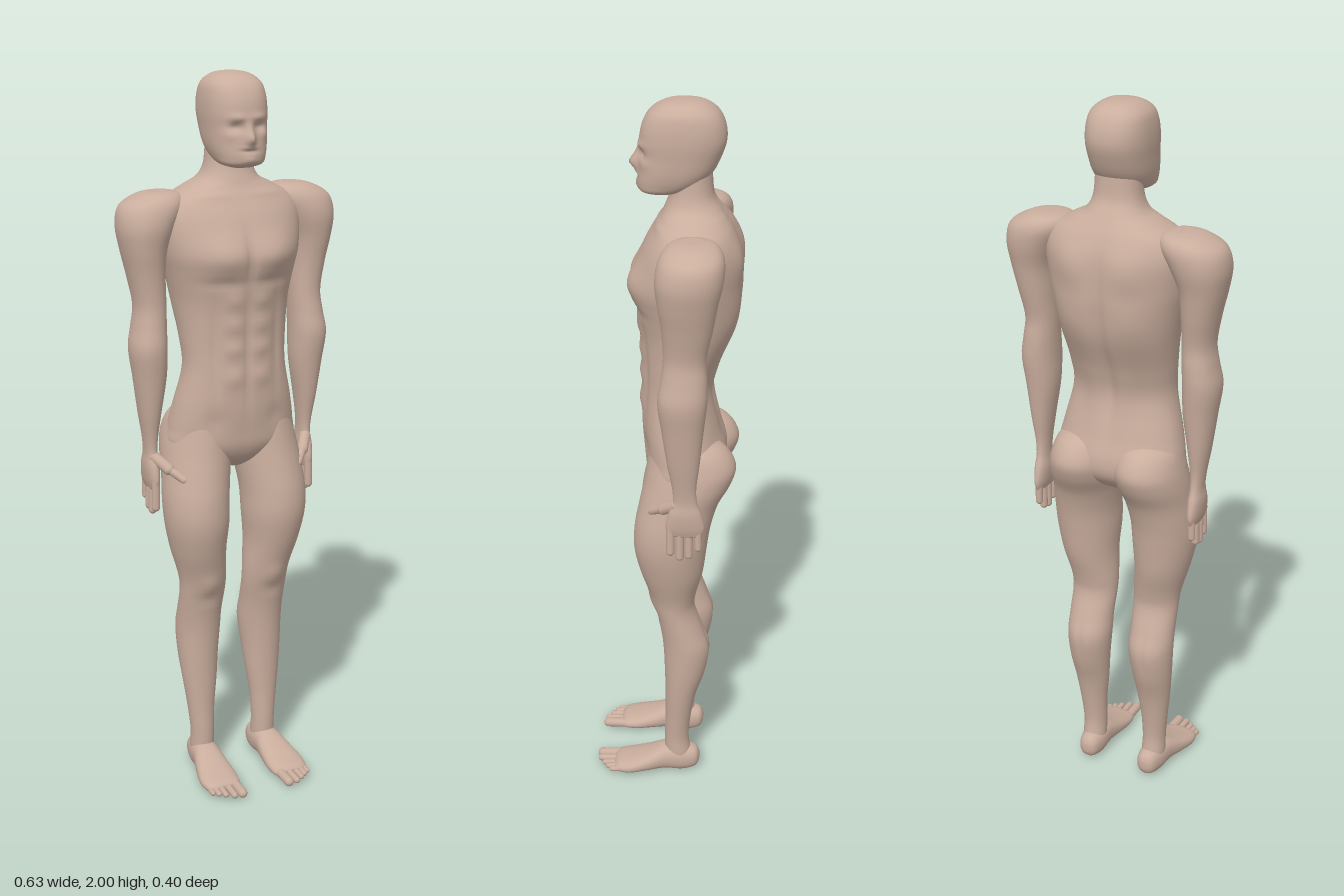
import * as THREE from 'three';

const skin = new THREE.MeshStandardMaterial({ color: 0xc9ad9d });
skin.name = 'skin';

const cubic = (a, b, c, d, t) =>
  b + 0.5 * t * (c - a + t * (2 * a - 5 * b + 4 * c - d + t * (3 * (b - c) + d - a)));

// Smooth loft through sections [y, centreX, halfWidth, frontZ, backZ], listed from high y to low y.
// Bumps are [x, y, radiusX, radiusY, amount, face], mirrored in x; face is 1 for front, -1 for back.
function loft(sections, { n = 2, around = 40, steps = 5, bumps = [], side = 1 } = {}) {
  const pos = [], index = [];
  const last = sections.length - 1;
  const at = (i) => sections[Math.min(Math.max(i, 0), last)];
  const rings = last * steps;
  for (let r = 0; r <= rings; r++) {
    const k = Math.min(Math.floor(r / steps), last - 1), t = r / steps - k;
    const [y, cx, hw, zf, zb] = at(k).map((_, c) =>
      cubic(at(k - 1)[c], at(k)[c], at(k + 1)[c], at(k + 2)[c], t));
    for (let j = 0; j < around; j++) {
      const a = (j / around) * Math.PI * 2, c = Math.cos(a), s = Math.sin(a);
      const x = side * cx + hw * Math.sign(c) * Math.abs(c) ** (2 / n);
      let z = (zf + zb) / 2 + ((zf - zb) / 2) * Math.sign(s) * Math.abs(s) ** (2 / n);
      for (const [bx, by, rx, ry, amount, face] of bumps) {
        if (s * face <= 0) continue;
        const u = (Math.abs(x) - bx) / rx, v = (y - by) / ry;
        z += s * amount * Math.exp(-u * u - v * v);
      }
      pos.push(x, y, z);
    }
  }
  for (let r = 0; r < rings; r++) {
    for (let j = 0; j < around; j++) {
      const a = r * around + j, b = r * around + ((j + 1) % around);
      index.push(a, b, a + around, b, b + around, a + around);
    }
  }
  // Close both ends with a centre point
  const top = pos.length / 3, bottom = top + 1, base = rings * around;
  for (const [y, cx, , zf, zb] of [at(0), at(last)]) pos.push(side * cx, y, (zf + zb) / 2);
  for (let j = 0; j < around; j++) {
    const k = (j + 1) % around;
    index.push(top, k, j, bottom, base + j, base + k);
  }
  const g = new THREE.BufferGeometry();
  g.setAttribute('position', new THREE.Float32BufferAttribute(pos, 3));
  g.setIndex(index);
  g.computeVertexNormals();
  return g;
}

function part(name, geometry, parent) {
  const m = new THREE.Mesh(geometry, skin);
  m.name = name;
  parent.add(m);
  return m;
}

// Rounded finger or toe between two points
function digit(name, a, b, radius, parent) {
  const from = new THREE.Vector3(...a), to = new THREE.Vector3(...b);
  const dir = to.clone().sub(from);
  const m = part(name, new THREE.CapsuleGeometry(radius, dir.length() - radius, 6, 14), parent);
  m.position.copy(from).add(to).addScaledVector(dir.clone().normalize(), -radius).multiplyScalar(0.5);
  m.quaternion.setFromUnitVectors(new THREE.Vector3(0, 1, 0), dir.normalize());
}

const HEAD = [
  [2.0, 0, 0.016, -0.025, -0.06], [1.993, 0, 0.048, 0.012, -0.095], [1.972, 0, 0.073, 0.047, -0.126],
  [1.94, 0, 0.082, 0.066, -0.143], [1.9, 0, 0.084, 0.074, -0.147], [1.86, 0, 0.081, 0.074, -0.135],
  [1.82, 0, 0.077, 0.078, -0.115], [1.79, 0, 0.069, 0.08, -0.085], [1.77, 0, 0.057, 0.074, -0.04],
  [1.76, 0, 0.03, 0.05, -0.01],
];
const FACE = [
  [0, 1.836, 0.013, 0.018, 0.022, 1], [0, 1.86, 0.01, 0.02, 0.01, 1],     // nose
  [0.034, 1.866, 0.018, 0.012, -0.011, 1], [0.03, 1.89, 0.025, 0.009, 0.005, 1], // eyes, brow
  [0, 1.806, 0.024, 0.005, -0.005, 1], [0, 1.813, 0.02, 0.005, 0.003, 1],  // mouth
  [0, 1.782, 0.02, 0.011, 0.004, 1], [0.055, 1.845, 0.016, 0.014, 0.005, 1], // chin, cheeks
];
const TORSO = [
  [1.82, 0, 0.06, -0.01, -0.112], [1.76, 0, 0.066, -0.002, -0.118], [1.725, 0, 0.084, 0.01, -0.138],
  [1.703, 0, 0.125, 0.02, -0.153], [1.67, 0, 0.18, 0.04, -0.172], [1.62, 0, 0.199, 0.066, -0.188],
  [1.54, 0, 0.192, 0.092, -0.194], [1.48, 0, 0.179, 0.088, -0.192], [1.4, 0, 0.163, 0.074, -0.178],
  [1.3, 0, 0.15, 0.069, -0.136], [1.22, 0, 0.147, 0.07, -0.118], [1.12, 0, 0.169, 0.069, -0.14],
  [1.05, 0, 0.183, 0.063, -0.16], [1.0, 0, 0.183, 0.056, -0.155], [0.96, 0, 0.11, 0.035, -0.12],
  [0.93, 0, 0.03, 0, -0.07],
];
const TRUNK_MUSCLES = [
  [0.075, 1.535, 0.07, 0.05, 0.017, 1], [0.075, 1.462, 0.07, 0.014, -0.006, 1], // chest
  [0, 1.53, 0.012, 0.06, -0.008, 1], [0, 1.27, 0.009, 0.17, -0.006, 1],         // midline
  [0.09, 1.28, 0.014, 0.13, -0.006, 1], [0.09, 1.08, 0.03, 0.03, -0.005, 1],    // flank grooves
  [0.1, 1.688, 0.07, 0.008, 0.004, 1],                                           // collarbones
  [0.085, 1.6, 0.055, 0.06, 0.012, -1], [0.1, 1.46, 0.06, 0.06, 0.008, -1],     // back
  [0, 1.4, 0.02, 0.24, -0.012, -1], [0.045, 1.24, 0.03, 0.09, 0.006, -1],       // spine
];
for (const y of [1.41, 1.345, 1.28, 1.2]) TRUNK_MUSCLES.push([0.04, y, 0.026, 0.023, 0.007, 1]);

const ARM = [
  [1.697, 0.19, 0.025, -0.045, -0.1], [1.688, 0.195, 0.06, -0.015, -0.135], [1.66, 0.215, 0.086, 0.008, -0.155],
  [1.61, 0.235, 0.078, 0.017, -0.155], [1.55, 0.243, 0.061, 0.01, -0.142], [1.48, 0.238, 0.05, 0, -0.13],
  [1.4, 0.231, 0.043, -0.004, -0.115], [1.34, 0.235, 0.046, 0.002, -0.118], [1.28, 0.24, 0.05, 0.01, -0.118],
  [1.2, 0.236, 0.044, 0, -0.11], [1.1, 0.237, 0.03, -0.015, -0.1], [1.03, 0.236, 0.02, -0.028, -0.092],
  [0.985, 0.235, 0.017, -0.03, -0.095], [0.95, 0.235, 0.02, -0.018, -0.107], [0.91, 0.235, 0.017, -0.011, -0.115],
  [0.885, 0.235, 0.011, -0.018, -0.108],
];
const LEG = [
  [1.11, 0.088, 0.04, 0.02, -0.1], [1.08, 0.094, 0.075, 0.04, -0.16], [1.03, 0.096, 0.092, 0.05, -0.19],
  [0.98, 0.101, 0.097, 0.058, -0.178], [0.92, 0.11, 0.094, 0.07, -0.145], [0.85, 0.118, 0.092, 0.083, -0.125],
  [0.78, 0.118, 0.089, 0.085, -0.115], [0.7, 0.113, 0.078, 0.068, -0.105], [0.62, 0.1, 0.069, 0.043, -0.086],
  [0.57, 0.097, 0.066, 0.03, -0.083], [0.5, 0.098, 0.064, 0.014, -0.108], [0.44, 0.098, 0.064, 0.006, -0.127],
  [0.36, 0.1, 0.058, 0.002, -0.115], [0.28, 0.1, 0.05, 0, -0.09], [0.2, 0.1, 0.04, 0, -0.075],
  [0.12, 0.098, 0.034, 0.002, -0.068], [0.06, 0.098, 0.034, 0, -0.075], [0.03, 0.098, 0.025, -0.01, -0.065],
];
const KNEE = [[0.1, 0.6, 0.035, 0.03, 0.007, 1], [0.1, 0.55, 0.03, 0.015, -0.004, 1], [0.1, 0.44, 0.01, 0.07, -0.005, -1]];
// Foot sections run toe to heel: [z, centreX, halfWidth, -bottomY, -topY]
const FOOT = [
  [0.15, 0.104, 0.036, -0.009, -0.026], [0.137, 0.106, 0.05, -0.002, -0.036], [0.1, 0.107, 0.056, 0, -0.046],
  [0.05, 0.104, 0.05, -0.003, -0.064], [0, 0.1, 0.041, -0.005, -0.085], [-0.05, 0.097, 0.037, 0, -0.085],
  [-0.088, 0.096, 0.027, -0.01, -0.075], [-0.1, 0.096, 0.01, -0.03, -0.055],
];

export function createModel() {
  const model = new THREE.Group();
  model.name = 'figure';
  part('head', loft(HEAD, { n: 2.4, around: 112, steps: 8, bumps: FACE }), model);
  part('torso', loft(TORSO, { n: 2.2, around: 112, steps: 7, bumps: TRUNK_MUSCLES }), model);

  for (const side of [1, -1]) {
    const label = side > 0 ? 'left' : 'right';
    const arm = new THREE.Group();
    arm.name = label + 'ArmAndHand';
    part(label + 'Arm', loft(ARM, { n: 2.15, side }), arm);
    // Fingers: [z, tip y, radius]
    [[-0.024, 0.822, 0.0115], [-0.049, 0.808, 0.0115], [-0.073, 0.814, 0.011], [-0.098, 0.838, 0.01]].forEach(
      ([z, y, r], i) => digit(label + 'Finger' + (i + 1), [side * 0.235, 0.91, z], [side * 0.236, y, z], r, arm));
    digit(label + 'ThumbBase', [side * 0.232, 0.975, -0.04], [side * 0.197, 0.938, 0.008], 0.016, arm);
    digit(label + 'ThumbTip', [side * 0.212, 0.953, -0.01], [side * 0.167, 0.916, 0.038], 0.0115, arm);

    const leg = new THREE.Group();
    leg.name = label + 'LegAndFoot';
    part(label + 'Leg', loft(LEG, { side, around: 56, bumps: KNEE }), leg);
    part(label + 'Foot', loft(FOOT, { n: 2.3, side }).rotateX(Math.PI / 2), leg);
    // Toes: [x, tip z, radius]
    [[0.074, 0.205, 0.0135], [0.099, 0.202, 0.0095], [0.12, 0.188, 0.0085], [0.136, 0.176, 0.008], [0.15, 0.165, 0.0075]].forEach(
      ([x, z, r], i) => digit(label + 'Toe' + (i + 1), [side * (x - 0.002), 0.02, 0.1], [side * x, 0.016, z], r, leg));
    model.add(arm, leg);
  }
  return model;
}
